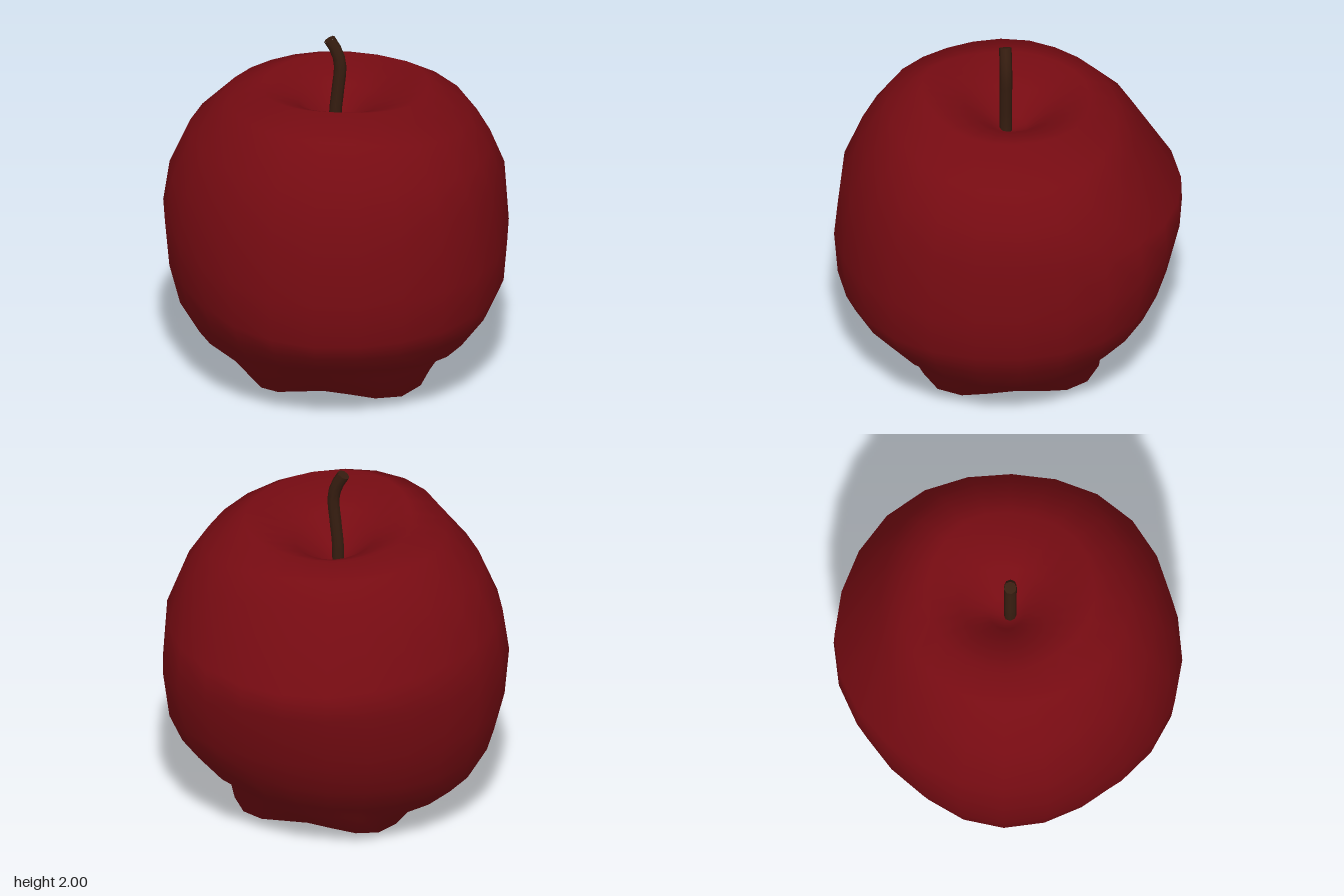
import * as THREE from 'three';

const SIDES = 24;

// Half profiles [radius, height], from the stem basin over the rim to the base
const LEFT = [[0, 1.46], [0.09, 1.5], [0.22, 1.61], [0.5, 1.72], [0.73, 1.55], [0.84, 1.38], [0.905, 1.2], [0.93, 0.84],
  [0.91, 0.6], [0.85, 0.46], [0.72, 0.28], [0.61, 0.22], [0.53, 0.12], [0.33, 0.06], [0.18, 0.07], [0, 0.1]];
const FRONT = [[0, 1.46], [0.09, 1.51], [0.24, 1.66], [0.47, 1.77], [0.66, 1.68], [0.8, 1.45], [0.9, 1.2], [0.94, 0.83],
  [0.92, 0.58], [0.87, 0.48], [0.78, 0.38], [0.61, 0.23], [0.5, 0.12], [0.32, 0.06], [0.16, 0.07], [0, 0.1]];
const RIGHT = [[0, 1.46], [0.09, 1.5], [0.2, 1.61], [0.4, 1.7], [0.59, 1.65], [0.79, 1.45], [0.9, 1.2], [0.935, 0.97],
  [0.91, 0.7], [0.85, 0.46], [0.74, 0.27], [0.6, 0.15], [0.44, 0.08], [0.29, 0.06], [0.15, 0.07], [0, 0.1]];
const BACK = [[0, 1.46], [0.1, 1.48], [0.25, 1.6], [0.44, 1.69], [0.58, 1.63], [0.69, 1.51], [0.93, 1.11], [0.935, 0.97],
  [0.86, 0.66], [0.77, 0.46], [0.67, 0.31], [0.56, 0.2], [0.5, 0.12], [0.34, 0.07], [0.16, 0.07], [0, 0.1]];
const PROFILES = [LEFT, FRONT, RIGHT, BACK];
const RINGS = LEFT.length;

// How far each of the lowest rings drops and swells into the four base lobes
const LOBES = { 12: [0.05, 0.1], 13: [0.055, 0.16], 14: [0.02, 0.1] };

// Blends neighbouring profiles around the fruit and adds lobes and a dent
function surfacePoint(ring, side) {
  const a = (side / SIDES) * Math.PI * 2;
  const q = (side / SIDES) * 4;
  const k = Math.floor(q);
  const t = THREE.MathUtils.smoothstep(q - k, 0, 1);
  const p = PROFILES[k][ring], n = PROFILES[(k + 1) % 4][ring];
  const [drop, swell] = LOBES[ring] ?? [0, 0];
  const diagonal = Math.sin(2 * a) ** 2;
  const away = (a - Math.PI * 1.75) / 0.4;
  const dent = 0.09 * Math.exp(-away * away - (ring - 11) ** 2);
  const y = THREE.MathUtils.lerp(p[1], n[1], t) - drop * diagonal;
  const r = THREE.MathUtils.lerp(p[0], n[0], t)
    * (1 + diagonal * (0.038 * Math.cos(a) + swell)) * (1 - dent);
  return [r * Math.cos(a), y, r * Math.sin(a)];
}

function fruitGeometry() {
  const pos = [], index = [];
  const at = (ring, side) => 1 + (ring - 1) * SIDES + (side % SIDES);
  const bottom = 1 + (RINGS - 2) * SIDES;
  pos.push(0, LEFT[0][1], 0);
  for (let i = 1; i < RINGS - 1; i++)
    for (let j = 0; j < SIDES; j++) pos.push(...surfacePoint(i, j));
  pos.push(0, LEFT[RINGS - 1][1], 0);
  for (let j = 0; j < SIDES; j++) {
    index.push(0, at(1, j + 1), at(1, j));
    index.push(bottom, at(RINGS - 2, j), at(RINGS - 2, j + 1));
    for (let i = 1; i < RINGS - 2; i++) {
      const a = at(i, j), b = at(i, j + 1), c = at(i + 1, j), d = at(i + 1, j + 1);
      index.push(a, b, c, b, d, c);
    }
  }
  const g = new THREE.BufferGeometry();
  g.setAttribute('position', new THREE.Float32BufferAttribute(pos, 3));
  g.setIndex(index);
  g.computeVertexNormals();
  return g;
}

export function createModel() {
  const model = new THREE.Group();
  model.name = 'apple';

  const skin = new THREE.MeshStandardMaterial({ color: 0x760b12 });
  const bark = new THREE.MeshStandardMaterial({ color: 0x361d10 });

  const fruit = new THREE.Mesh(fruitGeometry(), skin);
  fruit.name = 'fruit';
  model.add(fruit);

  // Curved stem with a closed tip
  const stem = new THREE.Group();
  stem.name = 'stem';
  const curve = new THREE.CatmullRomCurve3([
    [0, 1.42], [0, 1.55], [0.015, 1.7], [0.026, 1.84], [0.005, 1.92], [-0.032, 1.985],
  ].map(([x, y]) => new THREE.Vector3(x, y, 0.015)));
  const shaft = new THREE.Mesh(new THREE.TubeGeometry(curve, 10, 0.034, 8), bark);
  shaft.name = 'stemShaft';
  const tip = new THREE.Mesh(new THREE.CircleGeometry(0.034, 8), bark);
  tip.name = 'stemTip';
  tip.position.copy(curve.getPoint(1));
  tip.quaternion.setFromUnitVectors(new THREE.Vector3(0, 0, 1), curve.getTangent(1));
  stem.add(shaft, tip);
  model.add(stem);

  return model;
}
